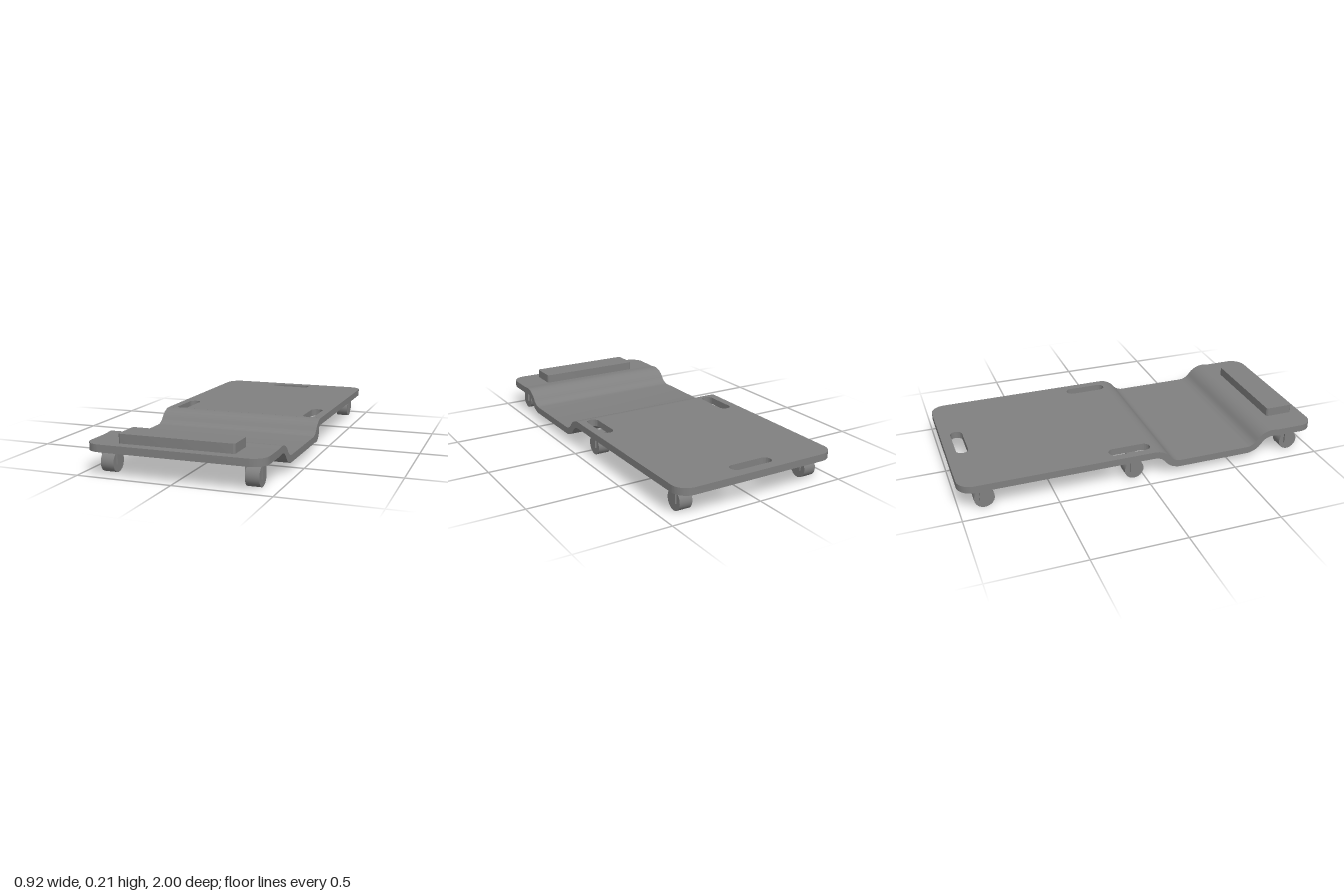
import * as THREE from 'three';
import { toCreasedNormals } from 'three/addons/utils/BufferGeometryUtils.js';

const W = 0.46;            // half width of the deck
const BOTTOM = 0.126, T = 0.038;

const grey = new THREE.MeshStandardMaterial({ color: 0x808080 });
grey.name = 'grey';

function add(parent, geometry, name, x = 0, y = 0, z = 0) {
  const mesh = new THREE.Mesh(geometry, grey);
  mesh.name = name;
  mesh.position.set(x, y, z);
  parent.add(mesh);
  return mesh;
}

// Plan outline between z0 and z1 with separate corner radii at each end
function plan(x0, x1, z0, z1, rBack, rFront, Type = THREE.Shape) {
  const s = new Type();
  const corner = (x, y, r, a) => {
    if (r > 0) s.absarc(x, y, r, a, a + Math.PI / 2, false);
    else s.lineTo(x, y);
  };
  s.moveTo(x0 + rFront, -z1);
  corner(x1 - rFront, -z1 + rFront, rFront, -Math.PI / 2);
  corner(x1 - rBack, -z0 - rBack, rBack, 0);
  corner(x0 + rBack, -z0 - rBack, rBack, Math.PI / 2);
  corner(x0 + rFront, -z1 + rFront, rFront, Math.PI);
  s.closePath();
  return s;
}

// Flat plate standing on y = 0
function plate(shape, height) {
  const g = new THREE.ExtrudeGeometry(shape, { depth: height, bevelEnabled: false, curveSegments: 10 });
  g.rotateX(-Math.PI / 2);
  return toCreasedNormals(g, 0.6);
}

// S bend made of two equal arcs from (z0, y0) to (z1, y1)
function sBend(z0, y0, z1, y1, n = 8) {
  const w = z1 - z0, h = y1 - y0;
  const angle = 2 * Math.atan(Math.abs(h) / w);
  const r = w / (2 * Math.sin(angle));
  const pts = [];
  for (let i = 0; i <= 2 * n; i++) {
    const a = angle * (i <= n ? i : 2 * n - i) / n;
    const dz = r * Math.sin(a), dy = Math.sign(h) * r * (1 - Math.cos(a));
    pts.push(i <= n ? [z0 + dz, y0 + dy, Math.sign(h) * a] : [z1 - dz, y1 - dy, Math.sign(h) * a]);
  }
  return pts;
}

// Curved middle of the deck: a side profile of constant thickness swept across x
function dipGeometry() {
  const mid = BOTTOM + T / 2, low = 0.069;
  const line = [
    ...sBend(0.04, mid, 0.19, low),
    ...sBend(0.585, low, 0.74, mid + 0.004),
    [0.785, mid, 0],
  ];
  const side = (sign) => line.map(([z, y, a]) => new THREE.Vector2(
    z - sign * Math.sin(a) * T / 2, y + sign * Math.cos(a) * T / 2));
  const shape = new THREE.Shape([...side(-1), ...side(1).reverse()]);
  const g = new THREE.ExtrudeGeometry(shape, { depth: 2 * W, bevelEnabled: false });
  g.rotateY(-Math.PI / 2);
  g.translate(W, 0, 0);
  return toCreasedNormals(g, 0.6);
}

// Wheel held in a bent fork
function makeCaster(x, z) {
  const caster = new THREE.Group();
  caster.name = 'caster';
  caster.position.set(x, 0, z);
  const wheel = new THREE.CylinderGeometry(0.053, 0.053, 0.07, 28).rotateZ(Math.PI / 2);
  add(caster, toCreasedNormals(wheel, 0.6), 'wheel', 0, 0.053, 0);
  add(caster, new THREE.BoxGeometry(0.088, 0.018, 0.05), 'forkTop', 0, 0.117, 0);
  for (const s of [-1, 1]) {
    add(caster, new THREE.BoxGeometry(0.009, 0.066, 0.05), 'forkArm', s * 0.0395, 0.077, 0);
  }
  return caster;
}

export function createModel() {
  const model = new THREE.Group();
  model.name = 'rollingBoard';

  // Long flat back with one handle slot and two side slots
  const back = plan(-W, W, -1, 0.042, 0.08, 0);
  back.holes.push(plan(-0.12, 0.12, -0.945, -0.88, 0.032, 0.032, THREE.Path));
  for (const s of [-1, 1]) {
    back.holes.push(plan(s * 0.383 - 0.033, s * 0.383 + 0.033, -0.192, 0.038, 0.0329, 0.0329, THREE.Path));
  }
  add(model, plate(back, T), 'backDeck', 0, BOTTOM, 0);

  // Dipped middle and flat front
  add(model, dipGeometry(), 'dippedDeck');
  add(model, plate(plan(-W, W, 0.78, 1, 0, 0.08), T), 'frontDeck', 0, BOTTOM, 0);

  // Head rest pad
  add(model, plate(plan(-0.3, 0.3, 0.79, 0.945, 0.012, 0.012), 0.05), 'headPad', 0, 0.162, 0);

  // Three pairs of casters
  for (const z of [0.873, -0.058, -0.867]) {
    for (const s of [-1, 1]) model.add(makeCaster(s * 0.375, z));
  }
  return model;
}
